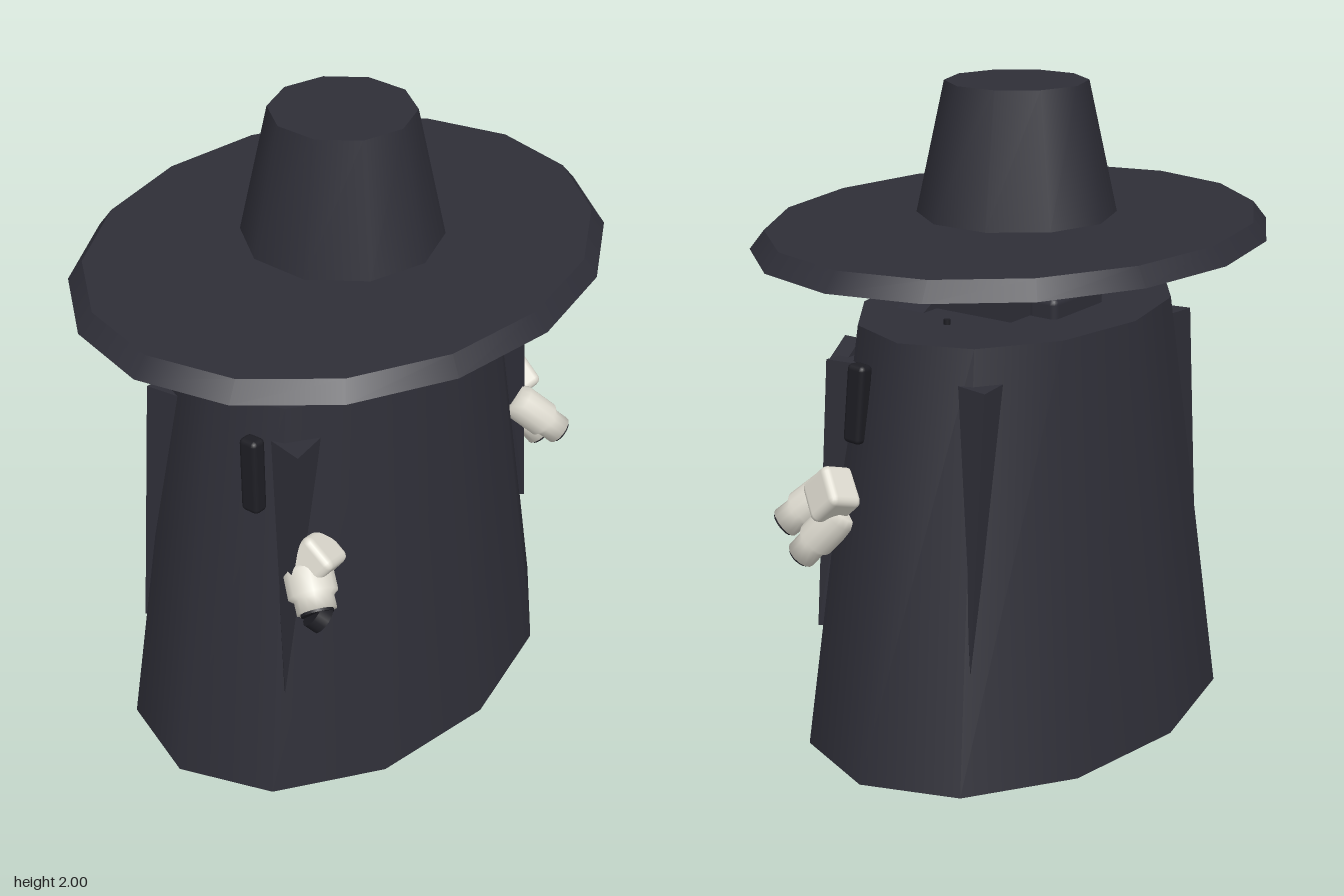
import * as THREE from 'three';
import { ConvexGeometry } from 'three/addons/geometries/ConvexGeometry.js';
import { RoundedBoxGeometry } from 'three/addons/geometries/RoundedBoxGeometry.js';

const V = (x, y, z) => new THREE.Vector3(x, y, z);

export function createModel() {
  const root = new THREE.Group();
  root.name = 'cloakedFigure';
  const material = (name, color) => {
    const m = new THREE.MeshStandardMaterial({ color });
    m.name = name;
    return m;
  };
  const charcoal = material('charcoal cloth', 0x2e2e37);
  const cream = material('cream shell', 0xdcd9ce);
  const black = material('black trim', 0x1d1d23);

  const add = (name, geometry, mat, pos = [0, 0, 0], rot = [0, 0, 0], parent = root) => {
    const mesh = new THREE.Mesh(geometry, mat);
    mesh.name = name;
    mesh.position.set(...pos);
    mesh.rotation.set(...rot);
    parent.add(mesh);
    return mesh;
  };
  const box = (w, h, d) => new THREE.BoxGeometry(w, h, d);
  const rounded = (w, h, d, r) => new RoundedBoxGeometry(w, h, d, 2, r);
  const hull = (points, sx = 1, sz = 1) =>
    new ConvexGeometry(points.map(([x, y, z]) => V(x * sx, y, z * sz)));

  // Frustum with an elliptical plan
  const frustum = (rTop, rBottom, y0, y1, sides, depth) =>
    new THREE.CylinderGeometry(rTop, rBottom, y1 - y0, sides)
      .scale(1, 1, depth).translate(0, (y0 + y1) / 2, 0);

  // Hat and cloak
  add('hatCrown', frustum(0.212, 0.298, 1.61, 2, 10, 1), charcoal);
  add('hatBrim', frustum(0.825, 0.872, 1.545, 1.598, 16, 0.82), charcoal);
  add('cloak', frustum(0.58, 0.795, 0.055, 1.34, 12, 0.72), charcoal, [0, 0, -0.006]);

  // Sharp folds pushed out at the four corners of the cloak
  for (const sx of [-1, 1]) for (const sz of [-1, 1]) {
    add('cloakFold', hull([
      [0.43, 1.235, 0.27], [0.55, 1.235, 0.285], [0.53, 1.235, 0.165],
      [0.38, 1.235, 0.16], [0.625, 0.42, 0.285], [0.55, 0.42, 0.2],
    ], sx, sz), charcoal);
  }

  for (const s of [-1, 1]) {
    // Feet with bevelled soles
    add('foot', hull([
      [0.075, 0.06, 0.275], [0.305, 0.06, 0.275], [0.305, 0.06, -0.15], [0.075, 0.06, -0.15],
      [0.075, 0.04, 0.265], [0.305, 0.04, 0.265], [0.305, 0.04, -0.15], [0.075, 0.04, -0.15],
      [0.087, 0, 0.22], [0.293, 0, 0.22], [0.293, 0, -0.14], [0.087, 0, -0.14],
    ], s), cream);

    // Elbow guards at the sides
    add('armGuard', rounded(0.05, 0.235, 0.062, 0.015), black,
      [s * 0.58, 1.135, 0.145], [-0.06, 0, s * 0.06]);

    // Collar wedges at the neck
    add('collarWedge', hull([
      [0.3, 1.335, 0.23], [0.17, 1.4, 0.23], [0.13, 1.385, 0.23], [0.13, 1.335, 0.23],
      [0.3, 1.335, 0.13], [0.17, 1.4, 0.13], [0.13, 1.385, 0.13], [0.13, 1.335, 0.13],
    ], s), charcoal);
  }
  add('shoulderPlate', box(0.1, 0.11, 0.06), charcoal, [0.447, 1.205, 0.275], [0, 0, -0.65]);

  // Head under the hat
  const head = new THREE.Group();
  head.name = 'head';
  root.add(head);
  add('headBlock', box(0.45, 0.2, 0.34), charcoal, [0, 1.425, 0.03], [0, 0, 0], head);
  add('headTop', box(0.37, 0.04, 0.34), charcoal, [0, 1.535, 0.03], [0, 0, 0], head);
  add('facePlate', hull([
    [0.077, 1.335, 0.235], [-0.077, 1.335, 0.235], [0.077, 1.4, 0.235], [-0.077, 1.4, 0.235],
    [0.06, 1.515, 0.235], [-0.06, 1.515, 0.235],
    [0.077, 1.335, 0.19], [-0.077, 1.335, 0.19], [0.077, 1.4, 0.19], [-0.077, 1.4, 0.19],
    [0.06, 1.515, 0.19], [-0.06, 1.515, 0.19],
  ]), cream, [0, 0, 0], [0, 0, 0], head);
  add('visor', rounded(0.125, 0.045, 0.03, 0.01), black, [0, 1.5, 0.23], [0, 0, 0], head);
  add('faceSeam', box(0.009, 0.1, 0.006), black, [0, 1.435, 0.236], [0, 0, 0], head);
  for (const x of [-0.024, 0, 0.024]) {
    add('faceVent', box(0.015, 0.015, 0.006), black, [x, 1.36, 0.236], [0, 0, 0], head);
  }

  // Pack and aerial behind the neck
  add('backPack', rounded(0.26, 0.08, 0.1, 0.02), charcoal, [0, 1.36, -0.18]);
  add('aerial', box(0.05, 0.13, 0.02), black, [0.12, 1.465, -0.17], [-0.2, 0, 0]);
  add('shoulderStud', new THREE.CylinderGeometry(0.01, 0.01, 0.03, 8), black, [0.345, 1.34, 0]);

  // Barrel running from one point to another, with a collar and dark muzzle
  const barrel = (parent, from, to, r) => {
    const a = V(...from), b = V(...to);
    const g = new THREE.Group();
    g.name = 'barrel';
    g.position.copy(a);
    g.quaternion.setFromUnitVectors(V(0, 1, 0), b.clone().sub(a).normalize());
    parent.add(g);
    const len = a.distanceTo(b);
    const profile = [[0, 0], [r * 0.8, 0], [r, 0.025], [r, len * 0.66],
      [r * 0.8, len * 0.74], [r * 0.8, len], [0, len]];
    const shell = new THREE.LatheGeometry(profile.map(p => new THREE.Vector2(...p)), 14);
    add('barrelShell', shell, cream, [0, 0, 0], [0, 0, 0], g);
    add('muzzle', new THREE.CylinderGeometry(r * 0.66, r * 0.66, 0.012, 14), black,
      [0, len + 0.002, 0], [0, 0, 0], g);
  };

  // Left hand carries two barrels, right hand one
  const leftHand = new THREE.Group();
  leftHand.name = 'leftHand';
  root.add(leftHand);
  add('handBlock', rounded(0.11, 0.13, 0.13, 0.022), cream,
    [0.635, 0.86, 0.205], [0.75, 0, 0.4], leftHand);
  barrel(leftHand, [0.545, 0.85, 0.27], [0.635, 0.728, 0.395], 0.06);
  barrel(leftHand, [0.61, 0.81, 0.18], [0.667, 0.658, 0.305], 0.058);

  const rightHand = new THREE.Group();
  rightHand.name = 'rightHand';
  root.add(rightHand);
  add('handBlock', rounded(0.12, 0.11, 0.12, 0.022), cream,
    [-0.497, 0.868, 0.305], [0.6, 0, -0.35], rightHand);
  barrel(rightHand, [-0.505, 0.835, 0.27], [-0.57, 0.742, 0.365], 0.075);
  add('muzzleTip', new THREE.CylinderGeometry(0.044, 0.044, 0.04, 14), black,
    [-0.576, 0.733, 0.374], [2.35, 0, -0.45], rightHand);

  return root;
}
